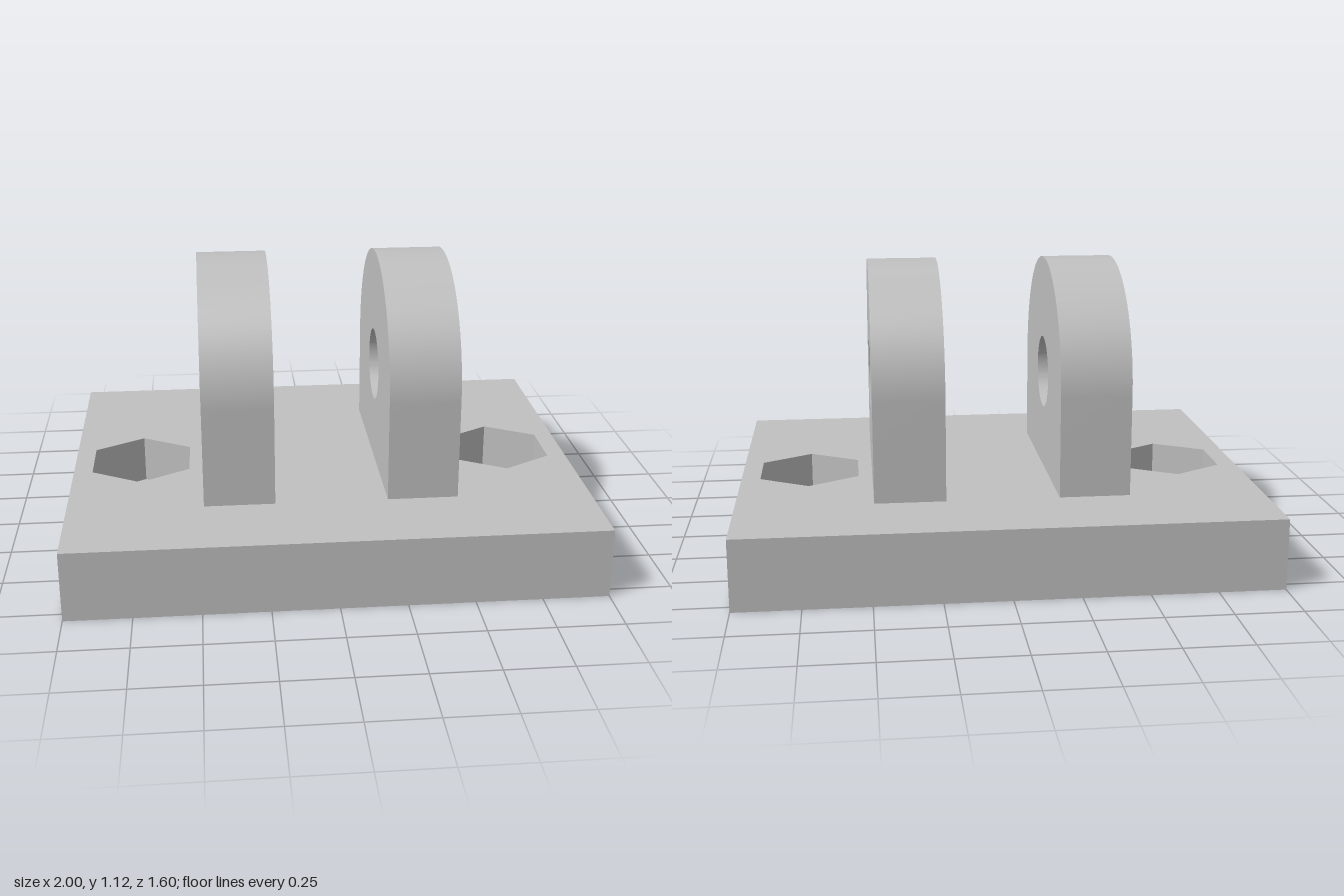
import * as THREE from 'three';
import { mergeGeometries, toCreasedNormals } from 'three/addons/utils/BufferGeometryUtils.js';

const BASE_H = 0.27, POCKET_FLOOR = 0.08, BOLT_X = 0.733;
const CREASE = 0.5;

// Regular polygon or circle outline, counter-clockwise, with a corner at the top
function ring(cx, cy, r, n) {
  return Array.from({ length: n }, (_, i) => {
    const a = Math.PI / 2 + (i / n) * Math.PI * 2;
    return new THREE.Vector2(cx + r * Math.cos(a), cy + r * Math.sin(a));
  });
}

// Flat face with holes at a given height
function face(outline, holes, z, down = false) {
  const shape = new THREE.Shape(outline);
  shape.holes = holes.map((h) => new THREE.Path(h));
  const g = new THREE.ShapeGeometry(shape).toNonIndexed();
  if (down) g.rotateX(Math.PI);
  g.translate(0, 0, z);
  g.deleteAttribute('uv');
  g.deleteAttribute('normal');
  return g;
}

// Upright walls along a closed outline; they face inward for a hole
function walls(outline, z0, z1, inward = false) {
  const pts = inward ? [...outline].reverse() : outline;
  const pos = [];
  pts.forEach((a, i) => {
    const b = pts[(i + 1) % pts.length];
    pos.push(a.x, a.y, z0, b.x, b.y, z0, b.x, b.y, z1);
    pos.push(a.x, a.y, z0, b.x, b.y, z1, a.x, a.y, z1);
  });
  const g = new THREE.BufferGeometry();
  g.setAttribute('position', new THREE.Float32BufferAttribute(pos, 3));
  return g;
}

// Plate with round bolt holes opening into hexagonal nut pockets
function basePlate() {
  const outer = [[-1, -0.8], [1, -0.8], [1, 0.8], [-1, 0.8]].map((p) => new THREE.Vector2(...p));
  const hexes = [-BOLT_X, BOLT_X].map((x) => ring(x, 0, 0.223, 6));
  const bolts = [-BOLT_X, BOLT_X].map((x) => ring(x, 0, 0.115, 48));
  const parts = [
    walls(outer, 0, BASE_H),
    face(outer, hexes, BASE_H),
    face(outer, bolts, 0, true),
  ];
  hexes.forEach((hex, i) => {
    parts.push(walls(hex, POCKET_FLOOR, BASE_H, true));
    parts.push(face(hex, [bolts[i]], POCKET_FLOOR));
    parts.push(walls(bolts[i], 0, POCKET_FLOOR, true));
  });
  const g = mergeGeometries(parts);
  g.rotateX(-Math.PI / 2);
  return toCreasedNormals(g, CREASE);
}

// Round-topped lug with a pin hole, extruded along x
function lugGeometry() {
  const r = 0.465, cy = 0.655, width = 0.27;
  const s = new THREE.Shape();
  s.moveTo(-r, BASE_H);
  s.lineTo(r, BASE_H);
  s.lineTo(r, cy);
  s.absarc(0, cy, r, 0, Math.PI, false);
  s.closePath();
  s.holes.push(new THREE.Path().absarc(0, cy, 0.143, 0, Math.PI * 2, true));
  const g = new THREE.ExtrudeGeometry(s, { depth: width, bevelEnabled: false, curveSegments: 48 });
  g.translate(0, 0, -width / 2);
  g.rotateY(Math.PI / 2);
  return toCreasedNormals(g, CREASE);
}

export function createModel() {
  const group = new THREE.Group();
  group.name = 'clevisBracket';
  const grey = new THREE.MeshStandardMaterial({ color: 0xc0c0c0 });
  grey.name = 'light grey';

  const base = new THREE.Mesh(basePlate(), grey);
  base.name = 'basePlate';
  group.add(base);

  const lugGeo = lugGeometry();
  for (const [name, side] of [['leftLug', 1], ['rightLug', -1]]) {
    const lug = new THREE.Mesh(lugGeo, grey);
    lug.name = name;
    lug.position.x = side * 0.35;
    group.add(lug);
  }
  return group;
}
